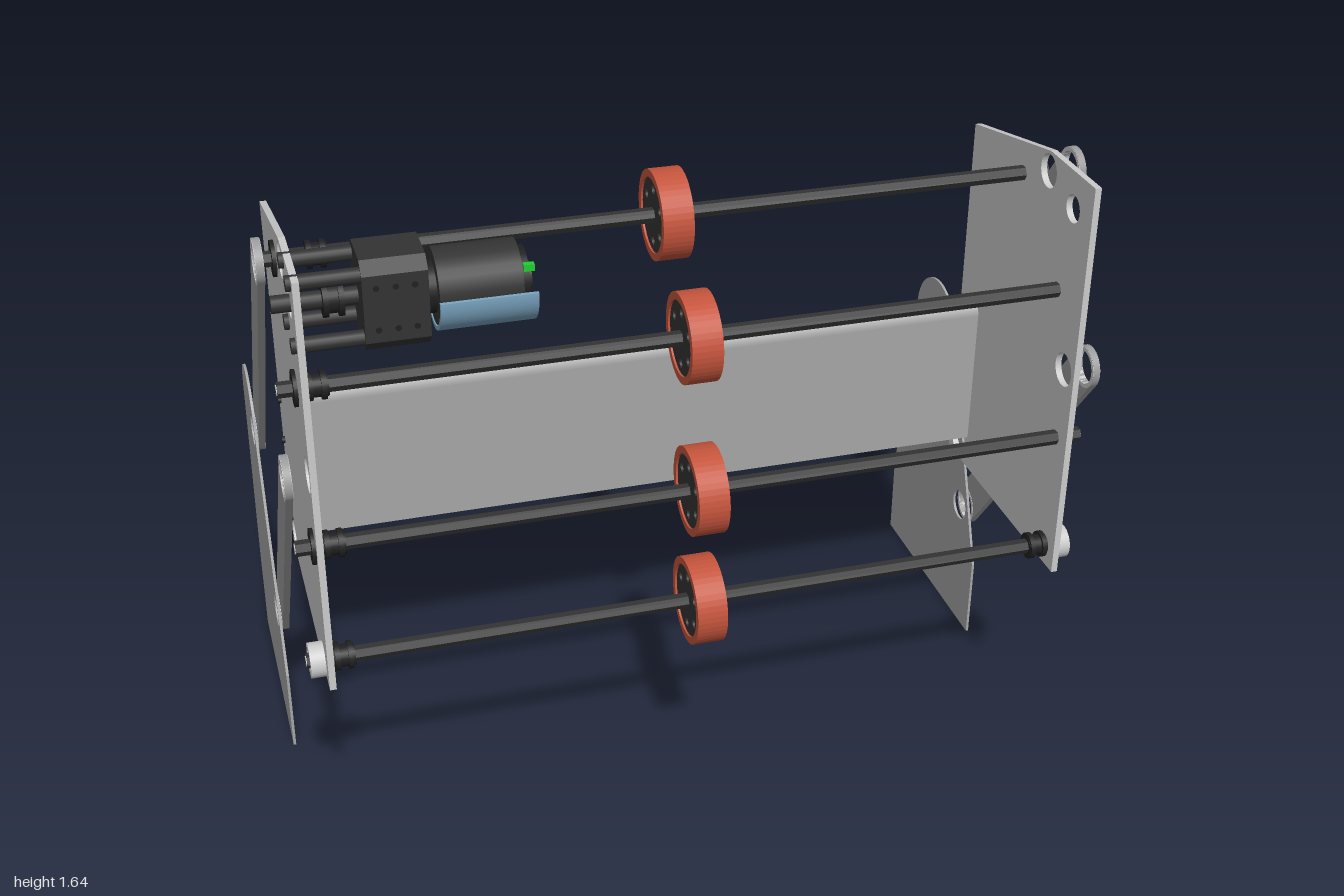
import * as THREE from 'three';

const mat = (c) => new THREE.MeshStandardMaterial({ color: c, side: THREE.DoubleSide });
const GREY = mat(0xcccccc), ARM = mat(0x9c9c9c), BASE = mat(0xa6a6a6);
const DARK = mat(0x333333), BLACK = mat(0x202020), ORANGE = mat(0xc4543c);
const BLUE = mat(0x7ba6c2), GREEN = mat(0x22cc33);

export function createModel() {
  const root = new THREE.Group();

  const add = (geo, material, name) => {
    const m = new THREE.Mesh(geo, material);
    m.name = name;
    root.add(m);
    return m;
  };

  // Rod or disc along x, from x0 to x1, centred on (z, y)
  const rod = (name, x0, x1, z, y, r, material, sides = 24) => {
    const g = new THREE.CylinderGeometry(r, r, x1 - x0, sides);
    g.rotateZ(Math.PI / 2);
    if (sides <= 8) material = Object.assign(material.clone(), { flatShading: true });
    return add(g, material, name).position.set((x0 + x1) / 2, y, z);
  };

  // Slab whose outline lies in the side plane; shape u is -z, holes are [z, y, r]
  const slab = (name, shape, x0, x1, material, holes = []) => {
    for (const [z, y, r] of holes) {
      const h = new THREE.Path();
      h.absarc(-z, y, r, 0, Math.PI * 2, true);
      shape.holes.push(h);
    }
    const g = new THREE.ExtrudeGeometry(shape, { depth: x1 - x0, bevelEnabled: false, curveSegments: 24 });
    g.rotateY(Math.PI / 2);
    add(g, material, name).position.x = x0;
  };
  const poly = (pts) => new THREE.Shape(pts.map(([z, y]) => new THREE.Vector2(-z, y)));
  const disc = (z, y, r) => {
    const s = new THREE.Shape();
    s.absarc(-z, y, r, 0, Math.PI * 2, false);
    return s;
  };
  const ring = (name, z, y, r, inner, x0, x1, material) =>
    slab(name, disc(z, y, r), x0, x1, material, [[z, y, inner]]);

  const shafts = [[0.167, 1.512], [0.409, 1.302], [0.483, 0.926], [0.483, 0.609]];
  const arms = [[[0.30, 1.57], [-0.29, 0.817]], [[0.483, 1.117], [-0.107, 0.365]]];
  const motorZ = 0.442, motorY = 1.53;
  const slatYs = [1.025, 0.91, 0.795, 0.68];

  // Side plates
  for (const [side, x0] of [['right', -0.934], ['left', 0.925]]) {
    const outline = poly([[0.54, 0.555], [-0.135, 0.555], [-0.135, 1.526], [0.30, 1.622], [0.54, 1.622]]);
    slab(side + 'SidePlate', outline, x0, x0 + 0.016, GREY, [
      [0.30, 1.57, 0.043], [0.483, 1.117, 0.043], [-0.076, 0.61, 0.043], [motorZ, motorY, 0.035],
    ]);
  }

  // Base plates, with rounded top
  for (const [side, x0] of [['right', -1.0], ['left', 0.961]]) {
    const s = new THREE.Shape();
    s.moveTo(-0.01, 0);
    s.lineTo(0.59, 0);
    s.lineTo(0.59, 0.22);
    s.absarc(0.37, 0.82, 0.135, 0.14, 2.76, false);
    s.lineTo(-0.01, 0.23);
    s.closePath();
    slab(side + 'BasePlate', s, x0, x0 + 0.007, BASE, arms.map((a) => [...a[1], 0.043]));
  }

  // Parallel link arms with bushings at both ends
  for (const [side, x0] of [['right', -0.991], ['left', 0.98]]) {
    for (const [a, b] of arms) {
      const t = Math.atan2(b[1] - a[1], a[0] - b[0]);
      const s = new THREE.Shape();
      s.absarc(-a[0], a[1], 0.054, t + Math.PI / 2, t + Math.PI * 1.5, false);
      s.absarc(-b[0], b[1], 0.054, t - Math.PI / 2, t + Math.PI / 2, false);
      s.closePath();
      slab(side + 'LinkArm', s, x0, x0 + 0.017, ARM, [[...a, 0.043], [...b, 0.043]]);
      for (const [z, y] of [a, b]) ring(side + 'Bushing', z, y, 0.053, 0.043, x0 - 0.001, x0 + 0.018, GREY);
    }
  }

  // Roller shafts with wheels, bearings and collars
  shafts.forEach(([z, y], i) => {
    const last = i === 3;
    rod('rollerShaft', -0.978, 0.986, z, y, 0.019, DARK, 6);
    rod('shaftEnd', -0.98, 0.988, z, y, 0.013, GREY, 12);
    rod('shaftBore', -0.981, 0.989, z, y, 0.005, BLACK, 12);

    ring('wheelTread', z, y, 0.111, 0.092, -0.041, 0.035, ORANGE);
    const holes = [];
    for (let k = 0; k < 6; k++) {
      const a = k * Math.PI / 3 + Math.PI / 6;
      holes.push([z + 0.066 * Math.cos(a), y + 0.066 * Math.sin(a), 0.012]);
    }
    slab('wheelHub', disc(z, y, 0.093), -0.036, 0.03, DARK, holes);

    // Inner collar: a hub between two flanges
    const collar = (c) => {
      rod('collarHub', c - 0.025, c + 0.025, z, y, 0.027, BLACK);
      for (const d of [-0.02, 0.012]) rod('collarFlange', c + d - 0.004, c + d + 0.008, z, y, 0.034, BLACK);
    };
    collar(i === 0 ? -0.84 : -0.888);
    if (last) collar(0.9);

    if (last) {
      for (const x of [-0.972, 0.942]) {
        ring('endPulley', z, y, 0.043, 0.027, x, x + 0.036, GREY);
        ring('endPulleyCore', z, y, 0.027, 0.019, x + 0.004, x + 0.032, ARM);
      }
    } else {
      for (const x of [-0.943, 0.939]) rod('bearing', x, x + 0.011, z, y, 0.043, BLACK);
    }
  });

  // Back panel, folded over the top slat
  const zc = -0.053, R = 0.035, T = 0.005;
  const fold = new THREE.Shape();
  fold.moveTo(-zc - R, 0.645);
  fold.lineTo(-zc - R + T, 0.645);
  fold.absarc(-zc, 1.021, R - T, Math.PI, 0, true);
  fold.absarc(-zc, 1.021, R, 0, Math.PI, false);
  fold.closePath();
  slab('backPanel', fold, -0.918, 0.925, BASE);
  for (const y of slatYs) {
    rod('backSlat', -0.918, 0.925, zc, y, 0.019, DARK);
    for (const x of [-0.94, 0.94]) rod('slatScrew', x - 0.004, x + 0.004, zc, y, 0.009, BLACK, 12);
  }

  // Gearbox with chamfered edges
  const h = 0.108, w = 0.085, c = 0.028;
  const block = [[w, -h + c], [w - c, -h], [c - w, -h], [-w, -h + c], [-w, h - c], [c - w, h], [w - c, h], [w, h - c]];
  slab('gearbox', poly(block.map(([z, y]) => [motorZ + z, motorY + y])), -0.785, -0.64, DARK);
  for (const x of [-0.755, -0.712, -0.67]) {
    for (const y of [-0.05, 0.05]) {
      const g = new THREE.CylinderGeometry(0.007, 0.007, 0.174, 12);
      g.rotateX(Math.PI / 2);
      add(g, BLACK, 'gearboxBolt').position.set(x, motorY + y, motorZ);
    }
  }

  // Standoffs and output shaft from the gearbox to the side plate
  for (const dz of [-0.06, 0.06]) {
    for (const dy of [-0.075, 0.075]) {
      rod('standoff', -0.945, -0.78, motorZ + dz, motorY + dy, 0.018, DARK, 16);
    }
  }
  rod('outputShaft', -0.975, -0.78, motorZ, motorY, 0.02, DARK, 16);
  for (const x of [-0.865, -0.83]) rod('outputPulleyFlange', x, x + 0.012, motorZ, motorY, 0.042, BLACK);
  rod('outputPulley', -0.865, -0.82, motorZ, motorY, 0.034, BLACK);

  // Motor in its half-round cradle
  rod('motorNeck', -0.645, -0.61, motorZ, motorY, 0.06, BLACK);
  rod('motorBody', -0.618, -0.43, motorZ, motorY, 0.088, DARK, 32);
  rod('motorEndCap', -0.43, -0.412, motorZ, motorY, 0.07, BLACK, 32);
  rod('motorEndBoss', -0.412, -0.4, motorZ, motorY, 0.03, DARK);
  const cradle = new THREE.Shape();
  cradle.absarc(-motorZ, motorY, 0.1, Math.PI, Math.PI * 2, false);
  cradle.absarc(-motorZ, motorY, 0.09, Math.PI * 2, Math.PI, true);
  cradle.closePath();
  slab('motorCradle', cradle, -0.62, -0.4, BLUE);
  for (const [dz, dy] of [[-0.068, 0.03], [0.055, 0.045]]) {
    add(new THREE.BoxGeometry(0.025, 0.016, 0.016), GREEN, 'motorTerminal').position.set(-0.413, motorY + dy, motorZ + dz);
  }

  return root;
}
